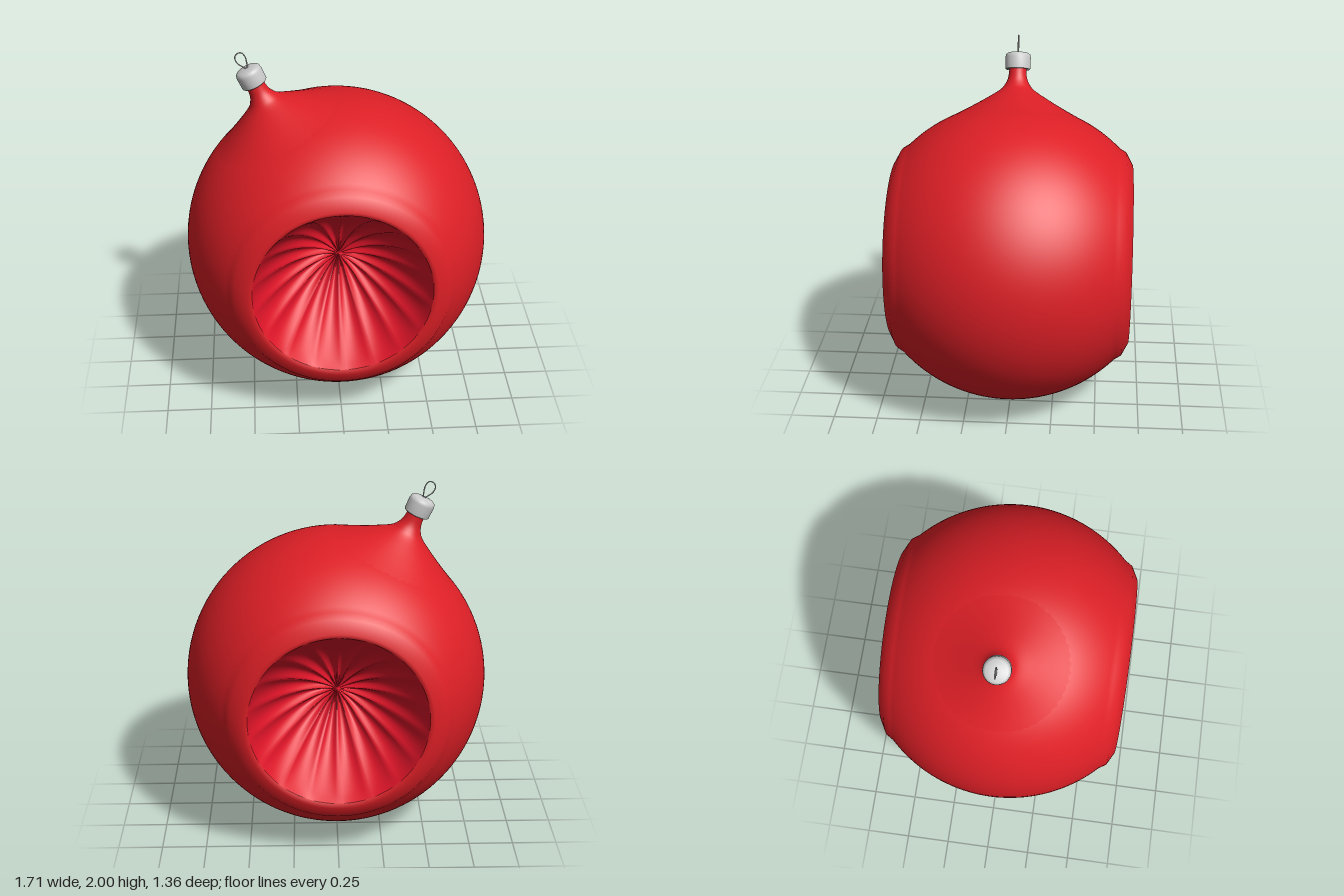
import * as THREE from 'three';
import { mergeVertices } from 'three/addons/utils/BufferGeometryUtils.js';

const R = 0.857;          // ball radius, also the height of its centre
const FLUTES = 18;
const TILT = 0.434;       // lean of the neck towards -x

const v2 = (x, y) => new THREE.Vector2(x, y);

// Lathe whose seam is welded so that the normals stay smooth all round
function smoothLathe(points, segments, move) {
  let g = new THREE.LatheGeometry(points, segments);
  g.deleteAttribute('uv');
  g.deleteAttribute('normal');
  if (move) {
    const p = g.attributes.position;
    const v = new THREE.Vector3();
    for (let i = 0; i < p.count; i++) {
      v.fromBufferAttribute(p, i);
      move(v);
      p.setXYZ(i, v.x, v.y, v.z);
    }
  }
  g = mergeVertices(g, 1e-5);
  g.computeVertexNormals();
  return g;
}

export function createModel() {
  const model = new THREE.Group();
  const red = new THREE.MeshStandardMaterial({ color: 0xdd1f26 });
  const crimson = new THREE.MeshStandardMaterial({ color: 0xdd1428 });
  const grey = new THREE.MeshStandardMaterial({ color: 0xcccccc });

  const add = (parent, name, geometry, material) => {
    const mesh = new THREE.Mesh(geometry, material);
    mesh.name = name;
    parent.add(mesh);
    return mesh;
  };

  // Ball: a band of sphere with a rolled rim at the front and back
  const rim = [v2(0.61, 0.602), v2(0.585, 0.642), v2(0.515, 0.68), v2(0.49, 0.668)];
  const profile = rim.map((p) => v2(p.x, -p.y)).reverse();
  const end = Math.asin(0.602 / R);
  for (let i = 1; i < 40; i++) {
    const a = -end + (2 * end * i) / 40;
    profile.push(v2(R * Math.cos(a), R * Math.sin(a)));
  }
  profile.push(...rim);
  const ball = add(model, 'ball', smoothLathe(profile, 108), red);
  ball.rotation.x = Math.PI / 2;
  ball.position.y = R;

  // Fluted reflector bowls sunk into the front and back
  const bowl = [];
  for (let i = 0; i <= 28; i++) {
    const t = 1 - i / 28;
    bowl.push(v2(0.49 * t, 0.22 + 0.448 * Math.pow(t, 1.9)));
  }
  const flute = (v) => {
    const t = Math.hypot(v.x, v.z) / 0.49;
    const wave = Math.abs(Math.sin((Math.atan2(v.x, v.z) * FLUTES) / 2)) - 0.6;
    v.y -= 0.075 * wave * Math.sqrt(t) * Math.pow(Math.max(0, 1 - t), 0.55);
  };
  const bowlGeometry = smoothLathe(bowl, FLUTES * 8, flute);
  for (const [name, side] of [['frontBowl', 1], ['backBowl', -1]]) {
    const mesh = add(model, name, bowlGeometry, crimson);
    mesh.rotation.x = (side * Math.PI) / 2;
    mesh.position.y = R;
  }

  // Neck and cap share an axis running out from the centre of the ball
  const stem = new THREE.Group();
  stem.name = 'stem';
  stem.position.y = R;
  stem.rotation.z = TILT;
  model.add(stem);

  const neck = new THREE.SplineCurve([
    v2(0.42, 0.746), v2(0.36, 0.778), v2(0.28, 0.822), v2(0.19, 0.875),
    v2(0.105, 0.93), v2(0.073, 0.965), v2(0.054, 1.01), v2(0.048, 1.08),
  ]);
  add(stem, 'neck', smoothLathe(neck.getPoints(40), 48), red);

  const cap = [
    v2(0.045, 1.06), v2(0.068, 1.055), v2(0.073, 1.06), v2(0.074, 1.125),
    v2(0.07, 1.142), v2(0.058, 1.151), v2(0.03, 1.156), v2(0, 1.157),
  ];
  add(stem, 'cap', smoothLathe(cap, 40), grey);

  // Teardrop wire hanger
  const wire = new THREE.CatmullRomCurve3(
    [
      [-0.482, 1.9], [-0.484, 1.945], [-0.492, 1.975], [-0.508, 1.994], [-0.526, 1.995],
      [-0.543, 1.98], [-0.545, 1.957], [-0.53, 1.932], [-0.49, 1.905],
    ].map(([x, y]) => new THREE.Vector3(x, y, 0)),
    true,
  );
  add(model, 'hanger', new THREE.TubeGeometry(wire, 64, 0.0035, 8, true), grey);

  return model;
}
